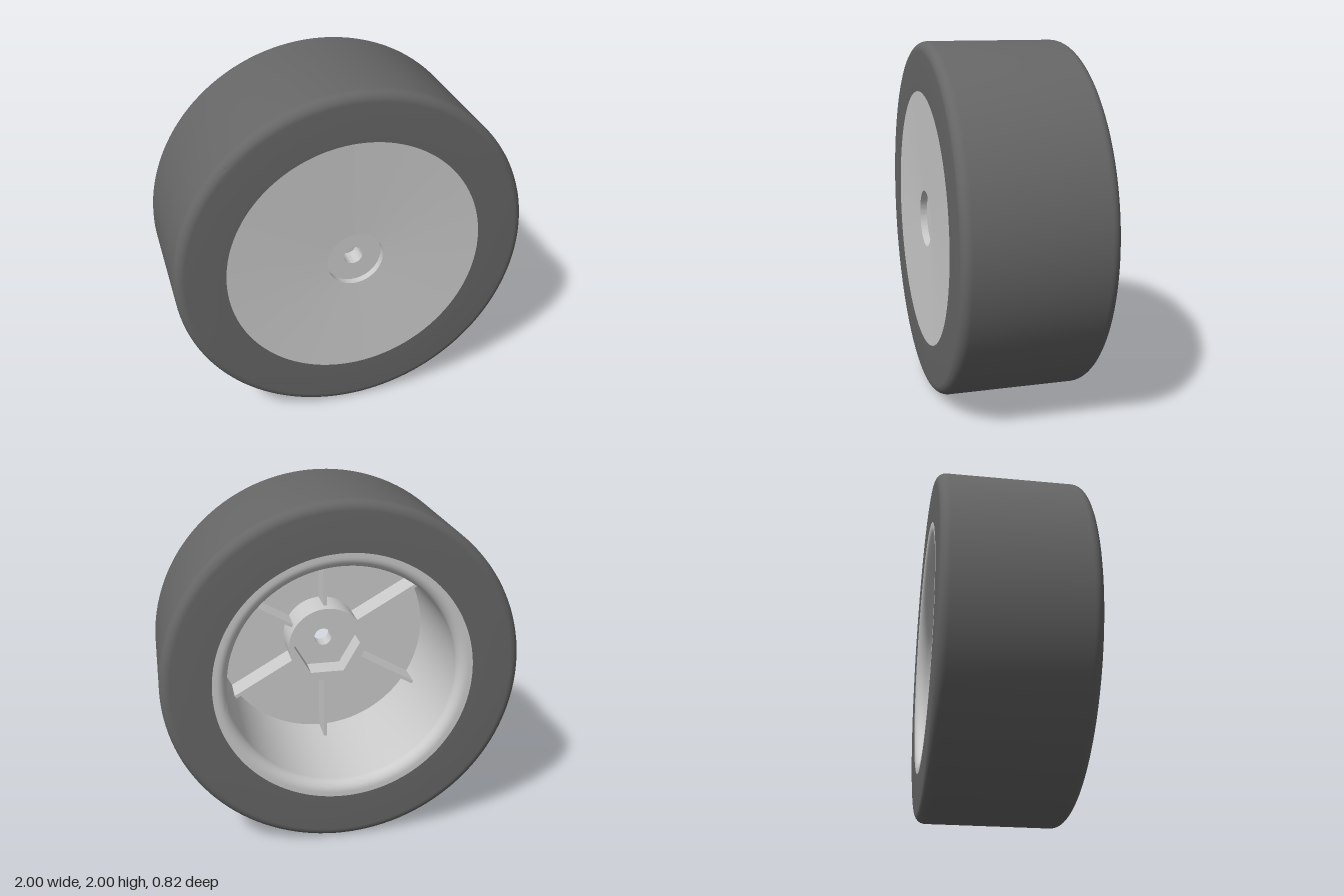
import * as THREE from 'three';
import { toCreasedNormals } from 'three/addons/utils/BufferGeometryUtils.js';

const HALF = 0.41;      // half width of the wheel
const RIM_R = 0.725;    // rim outer radius, where it meets the tyre
const BARREL_R = 0.64;  // inside radius of the rim
const FLOOR_Z = 0.33;   // back of the front disc
const HUB_Z = 0.11;     // rear end of the hub

const grey = new THREE.MeshStandardMaterial({ color: 0xcccccc });
const rubber = new THREE.MeshStandardMaterial({ color: 0x666666 });

// points of a quarter round from angle a0 to a1 (degrees)
function arc(cr, cz, r, a0, a1, n = 8) {
  return Array.from({ length: n + 1 }, (_, i) => {
    const a = THREE.MathUtils.degToRad(a0 + (a1 - a0) * i / n);
    return [cr + r * Math.cos(a), cz + r * Math.sin(a)];
  });
}

// revolve a (radius, z) profile around the z axis
function revolve(name, profile, material) {
  const points = profile.map(([r, z]) => new THREE.Vector2(r, z));
  const geometry = toCreasedNormals(new THREE.LatheGeometry(points, 128), 0.5);
  geometry.rotateX(Math.PI / 2);
  const mesh = new THREE.Mesh(geometry, material);
  mesh.name = name;
  return mesh;
}

export function createModel() {
  const wheel = new THREE.Group();
  wheel.name = 'wheel';
  wheel.position.y = 1;

  // tyre with rounded shoulders
  const round = 0.055;
  wheel.add(revolve('tyre', [
    [RIM_R, -HALF],
    ...arc(1 - round, -HALF + round, round, -90, 0),
    ...arc(1 - round, HALF - round, round, 0, 90),
    [RIM_R, HALF],
    [RIM_R, -HALF],
  ], rubber));

  // rim: shallow cone front disc with a recess and axle hole, barrel, rounded rear lip
  const lip = 0.06;
  wheel.add(revolve('rim', [
    [RIM_R, -HALF], [RIM_R, HALF],
    [0.16, 0.39], [0.16, 0.35],
    [0.053, 0.35], [0.053, 0.245],
    [0.22, 0.245], [0.22, FLOOR_Z],
    [BARREL_R, FLOOR_Z],
    ...arc(BARREL_R + lip, -HALF + lip, lip, 180, 270),
    [RIM_R, -HALF],
  ], grey));

  // hub with a hexagonal socket
  const hubShape = new THREE.Shape().absarc(0, 0, 0.23, 0, Math.PI * 2);
  const hex = Array.from({ length: 6 }, (_, i) => {
    const a = i * Math.PI / 3;
    return new THREE.Vector2(0.2 * Math.cos(a), 0.2 * Math.sin(a));
  });
  hubShape.holes.push(new THREE.Path(hex));
  const hubGeometry = new THREE.ExtrudeGeometry(hubShape, {
    depth: FLOOR_Z - HUB_Z, bevelEnabled: false, curveSegments: 32,
  });
  const hub = new THREE.Mesh(toCreasedNormals(hubGeometry, 0.5), grey);
  hub.name = 'hub';
  hub.position.z = HUB_Z;
  wheel.add(hub);

  // six ribs from the hub to the barrel
  const ribBack = 0.167, inner = 0.22, outer = BARREL_R + 0.005;
  const ribGeometry = new THREE.BoxGeometry(outer - inner, 0.02, FLOOR_Z - ribBack + 0.01);
  ribGeometry.translate((inner + outer) / 2, 0, (FLOOR_Z + ribBack + 0.01) / 2);
  for (let i = 0; i < 6; i++) {
    const rib = new THREE.Mesh(ribGeometry, grey);
    rib.name = 'rib' + (i + 1);
    rib.rotation.z = Math.PI / 6 + i * Math.PI / 3;
    wheel.add(rib);
  }

  const model = new THREE.Group();
  model.add(wheel);
  return model;
}
